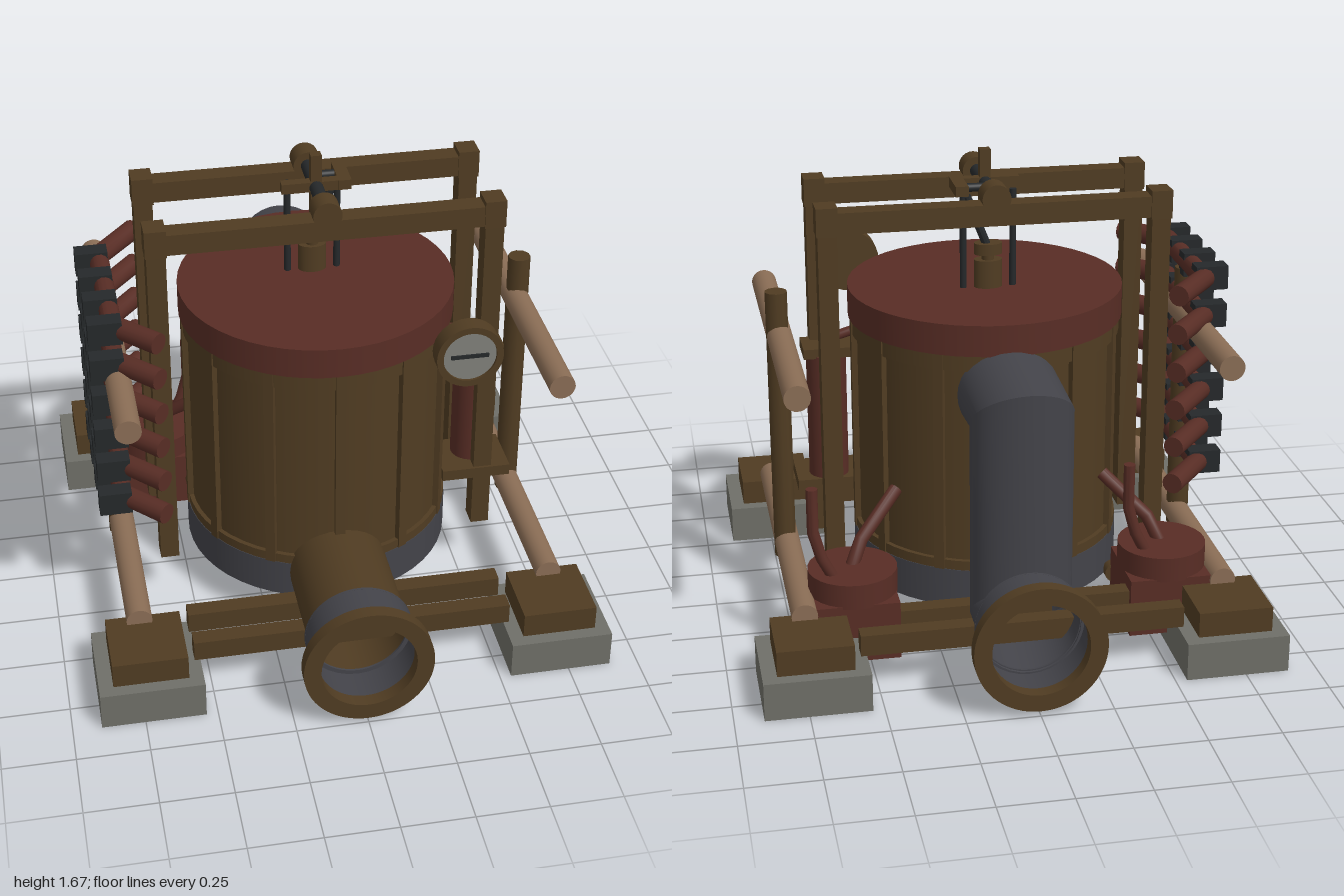
import * as THREE from 'three';
import { toCreasedNormals } from 'three/addons/utils/BufferGeometryUtils.js';

const mat = (name, color, double = false) => {
  const m = new THREE.MeshStandardMaterial({ color });
  m.name = name;
  if (double) m.side = THREE.DoubleSide;
  return m;
};

export function createModel() {
  const model = new THREE.Group();
  const brown = mat('bronze brown', 0x503c22, true);
  const red = mat('copper red', 0x582d25);
  const iron = mat('dark iron', 0x434349, true);
  const stone = mat('stone grey', 0x6f6f68);
  const tan = mat('pale copper', 0x8a6d55);
  const black = mat('black', 0x25282a);
  const dial = mat('dial grey', 0x80807a);

  const add = (name, geo, material, x = 0, y = 0, z = 0) => {
    const mesh = new THREE.Mesh(geo, material);
    mesh.name = name;
    mesh.position.set(x, y, z);
    model.add(mesh);
    return mesh;
  };
  const box = (name, m, w, h, d, x, y, z) => add(name, new THREE.BoxGeometry(w, h, d), m, x, y, z);
  // cylinder along the given axis, centred on x, y, z
  const rod = (name, m, r, len, x, y, z, axis = 'y', sides = 24, open = false) => {
    const g = new THREE.CylinderGeometry(r, r, len, sides, 1, open);
    if (axis === 'z') g.rotateX(Math.PI / 2);
    if (axis === 'x') g.rotateZ(Math.PI / 2);
    return add(name, g, m, x, y, z);
  };

  // pipe swept through points, one ring per point, square to the mean direction
  const pipe = (name, m, pts, r, sides = 14, caps = true) => {
    const p = pts.map((a) => new THREE.Vector3(...a));
    const pos = [], idx = [];
    let n1 = null;
    p.forEach((c, i) => {
      const t = new THREE.Vector3();
      if (i > 0) t.add(c.clone().sub(p[i - 1]).normalize());
      if (i < p.length - 1) t.add(p[i + 1].clone().sub(c).normalize());
      t.normalize();
      if (!n1) n1 = Math.abs(t.x) < 0.7 ? new THREE.Vector3(1, 0, 0) : new THREE.Vector3(0, 1, 0);
      n1.addScaledVector(t, -n1.dot(t)).normalize();
      const n2 = t.clone().cross(n1);
      for (let j = 0; j < sides; j++) {
        const a = (j / sides) * Math.PI * 2;
        const v = c.clone().addScaledVector(n1, r * Math.cos(a)).addScaledVector(n2, r * Math.sin(a));
        pos.push(v.x, v.y, v.z);
      }
    });
    const last = (p.length - 1) * sides;
    for (let i = 0; i < p.length - 1; i++)
      for (let j = 0; j < sides; j++) {
        const a = i * sides + j, b = i * sides + (j + 1) % sides;
        idx.push(a, b, a + sides, b, b + sides, a + sides);
      }
    if (caps)
      for (let j = 1; j < sides - 1; j++) idx.push(0, j + 1, j, last, last + j, last + j + 1);
    const g = new THREE.BufferGeometry();
    g.setAttribute('position', new THREE.Float32BufferAttribute(pos, 3));
    g.setIndex(idx);
    return add(name, toCreasedNormals(g, 0.6), m);
  };

  // flat ring facing z, starting at z = 0
  const ringGeometry = (outer, inner, depth) => {
    const s = new THREE.Shape().absarc(0, 0, outer, 0, Math.PI * 2);
    s.holes.push(new THREE.Path().absarc(0, 0, inner, 0, Math.PI * 2, true));
    return toCreasedNormals(new THREE.ExtrudeGeometry(s, { depth, bevelEnabled: false, curveSegments: 32 }), 0.5);
  };

  // feet and cross beams
  for (const sx of [-1, 1])
    for (const sz of [-1, 1]) {
      box('footStone', stone, 0.36, 0.135, 0.34, sx * 0.72, 0.0675, sz * 0.692);
      box('footBlock', brown, 0.26, 0.09, 0.25, sx * 0.72, 0.18, sz * 0.692);
    }
  for (const z of [-0.7, -0.548, 0.548, 0.7]) box('crossBeam', brown, 1.12, 0.075, 0.062, 0, 0.172, z);

  // vessel
  rod('vesselBase', iron, 0.48, 0.14, 0, 0.21, 0, 'y', 48);
  rod('vesselBody', brown, 0.462, 0.8, 0, 0.68, 0, 'y', 48);
  rod('vesselLowerBand', brown, 0.478, 0.04, 0, 0.295, 0, 'y', 48);
  rod('vesselUpperBand', brown, 0.478, 0.055, 0, 1.05, 0, 'y', 48);
  rod('vesselLid', red, 0.487, 0.11, 0, 1.135, 0, 'y', 48);
  for (let i = 0; i < 12; i++) {
    const a = (i / 12) * Math.PI * 2;
    box('vesselRib', brown, 0.036, 0.8, 0.03, Math.sin(a) * 0.467, 0.68, Math.cos(a) * 0.467).rotation.y = a;
  }

  // front inlet, back outlet, and their flanges
  rod('inletPipe', brown, 0.175, 0.38, 0, 0.24, 0.61, 'z', 32, true);
  pipe('outletPipe', iron, [[0, 0.93, -0.4], [0, 0.93, -0.662], [0, 0.24, -0.662], [0, 0.24, -0.82]], 0.175, 32, false);
  for (const s of [-1, 1]) {
    rod('pipeCollar', iron, 0.188, 0.15, 0, 0.243, s * 0.88, 'z', 32, true);
    add('pipeFlange', ringGeometry(0.225, 0.165, 0.048), brown, 0, 0.243, s > 0 ? 0.952 : -1);
    add('collarLip', ringGeometry(0.188, 0.172, 0.008), iron, 0, 0.243, s > 0 ? 0.805 : -0.813);
  }

  // two portal frames carrying the top axle
  for (const z of [-0.188, 0.188]) {
    for (const x of [-0.579, 0.579]) {
      box('framePost', brown, 0.066, 1.32, 0.075, x, 0.86, z);
      box('framePostCap', brown, 0.074, 0.1, 0.085, x, 1.5, z);
    }
    box('frameBeam', brown, 1.14, 0.075, 0.075, 0, 1.493, z);
    rod('axleBearing', brown, 0.05, 0.08, 0, 1.55, z, 'z');
  }
  rod('axle', black, 0.024, 0.32, 0, 1.55, 0, 'z');
  box('valveCrossBar', brown, 0.24, 0.036, 0.036, 0, 1.552, 0);
  box('valveUprightBar', brown, 0.038, 0.25, 0.034, 0, 1.545, 0);
  box('crankArm', brown, 0.045, 0.036, 0.14, 0.1, 1.552, -0.05);
  rod('crankPin', black, 0.015, 0.08, 0.045, 1.552, -0.07, 'x');
  for (const x of [-0.088, 0.088]) rod('guideRod', black, 0.012, 0.36, x, 1.36, -0.065, 'y', 12);
  pipe('connectingRod', black, [[0, 1.33, -0.065], [0.075, 1.52, -0.065]], 0.015, 10);
  rod('stemBase', brown, 0.05, 0.1, 0, 1.24, -0.065).scale.z = 0.7;
  rod('stem', brown, 0.022, 0.15, 0, 1.27, -0.065);
  rod('stemHead', brown, 0.05, 0.04, 0, 1.33, -0.065).scale.z = 0.7;

  // pressure gauge
  rod('gaugeHousing', brown, 0.115, 0.05, 0.428, 1.138, 0.495, 'z', 32);
  add('gaugeRim', ringGeometry(0.115, 0.092, 0.015), brown, 0.428, 1.138, 0.52);
  rod('gaugeFace', dial, 0.092, 0.006, 0.428, 1.138, 0.523, 'z', 32);
  box('gaugeNeedle', black, 0.13, 0.014, 0.005, 0.428, 1.138, 0.529);

  // side uprights and long rails
  for (const x of [-0.74, 0.74]) {
    rod('sideUpright', brown, 0.04, 1.01, x, 0.69, 0, 'y', 10);
    for (const y of [0.237, 1.03]) rod('sideRail', tan, 0.045, 1.22, Math.sign(x) * 0.733, y, 0, 'z');
  }

  // canister held against the vessel
  rod('canister', red, 0.072, 0.48, 0.56, 0.68, 0.108);
  box('canisterShelf', brown, 0.25, 0.042, 0.2, 0.555, 0.432, 0.135);
  box('canisterClamp', brown, 0.2, 0.036, 0.14, 0.545, 0.932, 0.12);
  pipe('canisterPipe', red, [[0.56, 0.93, 0.11], [0.53, 0.975, 0.11], [0.44, 1, 0.11]], 0.018);

  // radiator pipes with black clamps
  for (let i = 0; i < 6; i++) {
    const y = 1.223 - i * 0.14;
    pipe('radiatorPipe', red, [[-0.6, y, -0.395], [-0.74, y, -0.225], [-0.74, y, 0.25], [-0.6, y, 0.395]], 0.037);
    for (let j = 0; j < 4; j++) box('radiatorClamp', black, 0.115, 0.085, 0.064, -0.768, y, -0.2 + j * 0.159);
  }

  // pump tanks at the back corners
  for (const s of [-1, 1]) {
    const x = s * 0.55, z = -0.455;
    box('pumpBox', red, 0.29, 0.21, 0.29, x, 0.15, z);
    rod('pumpDrum', red, 0.155, 0.09, x, 0.292, z, 'y', 28);
    rod('pumpNozzle', brown, 0.035, 0.04, x + 0.13, 0.15, -0.295, 'z');
    pipe('pumpRiser', red, [[x + 0.07, 0.32, -0.5], [x + 0.11, 0.4, -0.505], [x + 0.137, 0.5, -0.505], [x + 0.137, 0.66, -0.505]], 0.02);
    pipe('pumpFeed', red, [[x, 0.32, -0.43], [x - s * 0.04, 0.41, -0.4], [x - s * 0.18, 0.54, -0.29]], 0.024);
  }
  return model;
}
